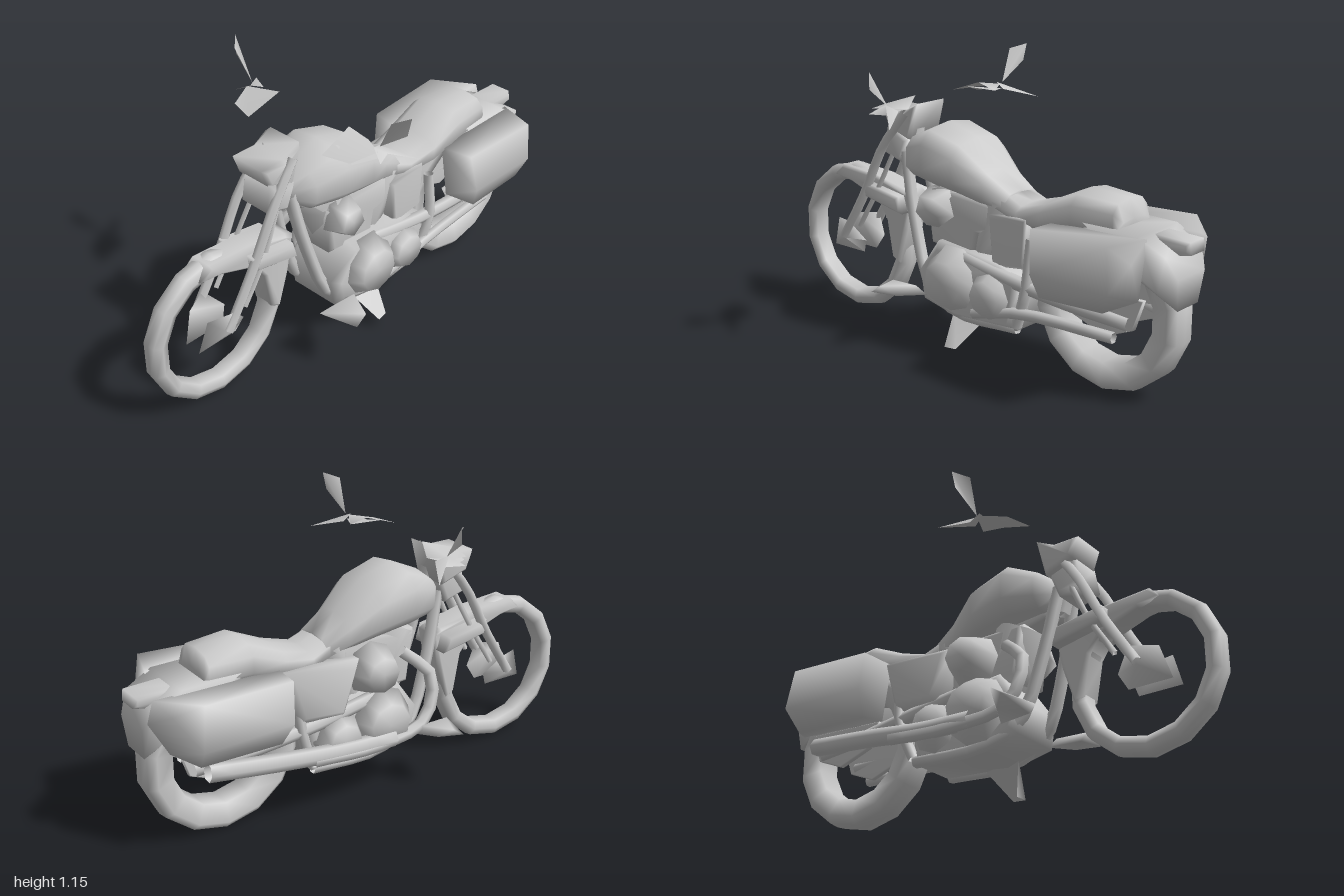
import * as THREE from 'three';
import { ConvexGeometry } from 'three/addons/geometries/ConvexGeometry.js';
import { mergeVertices } from 'three/addons/utils/BufferGeometryUtils.js';

const mat = new THREE.MeshStandardMaterial({ color: 0xcccccc, side: THREE.DoubleSide });
const V = (p) => new THREE.Vector3(...p);

export function createModel() {
  const model = new THREE.Group();
  // Every part is welded so that its shading runs smoothly over the edges
  const add = (name, geo, parent = model) => {
    geo.deleteAttribute('uv');
    geo.deleteAttribute('normal');
    const soft = mergeVertices(geo, 1e-4);
    soft.computeVertexNormals();
    const m = new THREE.Mesh(soft, mat);
    m.name = name;
    parent.add(m);
    return m;
  };

  // Side outline in x,y extruded from z0 to z1
  const slab = (name, pts, z0, z1, bevel = 0.012) => {
    const shape = new THREE.Shape(pts.map((p) => new THREE.Vector2(...p)));
    const geo = new THREE.ExtrudeGeometry(shape, {
      depth: z1 - z0 - 2 * bevel, bevelEnabled: true, bevelSize: bevel,
      bevelOffset: -bevel, bevelThickness: bevel, bevelSegments: 1,
    });
    return add(name, geo.translate(0, 0, z0 + bevel));
  };
  const pipe = (name, pts, r, sides = 6) =>
    add(name, new THREE.TubeGeometry(new THREE.CatmullRomCurve3(pts.map(V)), (pts.length - 1) * 3, r, sides));
  const hull = (name, pts) => add(name, new ConvexGeometry(pts.map(V)));
  const disc = (name, x, y, z, r, depth, r2, sides = 8) => {
    const m = add(name, new THREE.CylinderGeometry(r2, r, depth, sides));
    m.position.set(x, y, z);
    m.rotation.x = z < 0 ? -Math.PI / 2 : Math.PI / 2;
  };
  // Thin fan-shaped sheet
  const leaf = (name, pts, parent) => {
    const geo = new THREE.BufferGeometry().setFromPoints(pts.map(V));
    geo.setIndex(pts.slice(2).flatMap((_, i) => [0, i + 1, i + 2]));
    add(name, geo, parent);
  };
  // Oval sections along x: [x, bottom, top, half width]
  const loft = (name, sections, sides = 10) => {
    const pos = [], idx = [], n = sections.length;
    const bend = (v) => Math.sign(v) * Math.abs(v) ** 0.75;
    for (const [x, lo, hi, w] of sections)
      for (let j = 0; j < sides; j++) {
        const a = (j / sides) * Math.PI * 2;
        pos.push(x, (lo + hi) / 2 + bend(Math.cos(a)) * (hi - lo) / 2, bend(Math.sin(a)) * w);
      }
    for (let i = 0; i < n - 1; i++)
      for (let j = 0; j < sides; j++) {
        const a = i * sides + j, b = i * sides + ((j + 1) % sides);
        idx.push(a, b, a + sides, b, b + sides, a + sides);
      }
    const end = (n - 1) * sides;
    for (let j = 1; j < sides - 1; j++) idx.push(0, j + 1, j, end, end + j, end + j + 1);
    const geo = new THREE.BufferGeometry();
    geo.setAttribute('position', new THREE.Float32BufferAttribute(pos, 3));
    geo.setIndex(idx);
    return add(name, geo);
  };
  // Open-centred tyre turned about z
  const tyre = (name, x, y, r, inner, w, z) => {
    const prof = [[inner, -w * 0.7], [r - 0.035, -w], [r - 0.005, -w * 0.65], [r, 0], [r - 0.005, w * 0.65],
      [r - 0.035, w], [inner, w * 0.7], [inner, -w * 0.7]].map((p) => new THREE.Vector2(...p));
    const m = add(name, new THREE.LatheGeometry(prof, 14));
    m.rotation.x = Math.PI / 2;
    m.position.set(x, y, z);
  };

  // Wheels
  tyre('frontTyre', -0.685, 0.33, 0.317, 0.25, 0.045, -0.01);
  tyre('rearTyre', 0.65, 0.33, 0.325, 0.215, 0.072, -0.007);

  // Front fender, wrapping down behind the wheel, with wider side stays
  slab('frontFender', [[-0.78, 0.59], [-0.73, 0.64], [-0.52, 0.625], [-0.36, 0.59], [-0.32, 0.57], [-0.35, 0.42],
    [-0.4, 0.27], [-0.44, 0.29], [-0.47, 0.45], [-0.52, 0.52], [-0.68, 0.575]], -0.06, 0.05);
  slab('fenderStay', [[-0.56, 0.6], [-0.36, 0.57], [-0.34, 0.5], [-0.55, 0.54]], -0.115, 0.095);

  // Parts paired on both sides
  for (const s of [-1, 1]) {
    const z = s * 0.09 - 0.01;
    pipe('forkLeg', [[-0.33, 0.92, z * 0.8], [-0.45, 0.76, z], [-0.56, 0.55, z], [-0.69, 0.34, z]], 0.02, 5);
    pipe('forkStay', [[-0.4, 0.76, z * 0.7], [-0.5, 0.56, z * 0.9], [-0.6, 0.4, z * 0.9]], 0.012, 4);
    // Axle plate leaning in toward the hub
    hull('axlePlate', [[-0.8, 0.27, z * 0.4], [-0.76, 0.4, z * 0.55], [-0.66, 0.41, z], [-0.59, 0.33, z * 0.6],
      [-0.62, 0.27, z * 0.4], [-0.69, 0.33, z]]);
    pipe('downTube', [[-0.34, 0.76, s * 0.05], [-0.28, 0.5, s * 0.07], [-0.17, 0.23, s * 0.09],
      [0, 0.17, s * 0.11], [0.3, 0.18, s * 0.11]], 0.025);
    // Footrest wing
    hull('footrest', [[-0.31, 0.25, s * 0.17], [-0.28, 0.22, s * 0.17], [-0.14, 0.22, s * 0.15], [-0.15, 0.27, s * 0.2],
      [-0.2, 0.23, s * 0.26], [-0.27, 0.25, s * 0.33], [-0.22, 0.285, s * 0.33]]);
    // Rear suspension
    pipe('swingArm', [[0.02, 0.41, s * 0.12], [0.3, 0.37, s * 0.13], [0.55, 0.34, s * 0.12], [0.8, 0.32, s * 0.1]], 0.028);
    pipe('rearStrut', [[0.3, 0.19, s * 0.12], [0.36, 0.35, s * 0.14], [0.37, 0.55, s * 0.12]], 0.022);
    slab('axleBracket', [[0.5, 0.4], [0.86, 0.42], [0.82, 0.3], [0.7, 0.25], [0.55, 0.3]], s * 0.095 - 0.012, s * 0.095 + 0.012, 0.004);
    disc('crankCover', -0.01, 0.31, s * 0.165, 0.14, 0.08, 0.09, 9);
    disc('gearCover', 0.19, 0.29, s * 0.155, 0.11, 0.07, 0.07, 8);
  }
  slab('leftSideCover', [[0.15, 0.6], [0.34, 0.62], [0.33, 0.42], [0.17, 0.4]], 0.05, 0.12);
  slab('rightSideCover', [[0.1, 0.6], [0.44, 0.62], [0.38, 0.4], [0.17, 0.38]], -0.17, -0.05, 0.03);

  // Headlight on its clamp, and steering neck
  slab('headlight', [[-0.47, 0.92], [-0.44, 0.84], [-0.32, 0.8], [-0.28, 0.96], [-0.36, 0.92]], -0.12, 0.06, 0.015);
  slab('forkClamp', [[-0.44, 0.85], [-0.46, 0.74], [-0.36, 0.71], [-0.32, 0.81]], -0.09, 0.07, 0.015);
  pipe('steeringNeck', [[-0.34, 0.92, 0], [-0.34, 0.8, 0], [-0.31, 0.68, 0]], 0.04);

  // Fuel tank and seat
  loft('fuelTank', [[-0.33, 0.71, 0.8, 0.06], [-0.27, 0.67, 0.85, 0.13], [-0.15, 0.66, 0.905, 0.175], [0, 0.64, 0.86, 0.165],
    [0.12, 0.61, 0.755, 0.12], [0.22, 0.58, 0.69, 0.1]]);
  loft('seat', [[0.16, 0.6, 0.71, 0.1], [0.28, 0.57, 0.655, 0.11], [0.4, 0.57, 0.69, 0.125], [0.55, 0.6, 0.76, 0.13],
    [0.72, 0.6, 0.75, 0.11], [0.74, 0.6, 0.68, 0.1]]);

  // Rear fender, narrowing down the back, and tail light
  hull('rearFender', [-1, 1].flatMap((s) => [[0.6, 0.66, s * 0.12], [0.84, 0.655, s * 0.125], [0.95, 0.6, s * 0.115],
    [0.985, 0.52, s * 0.085], [0.975, 0.4, s * 0.065], [0.9, 0.45, s * 0.08], [0.6, 0.6, s * 0.1]]));
  slab('tailLight', [[0.83, 0.65], [0.995, 0.645], [1, 0.6], [0.93, 0.585], [0.83, 0.6]], -0.065, 0.045);

  // Saddlebags; the right-hand one tapers back to meet the fender
  hull('leftSaddlebag', [[0.46, 0.63, 0.11], [0.87, 0.65, 0.11], [0.85, 0.42, 0.12], [0.49, 0.39, 0.12], [0.47, 0.64, 0.255],
    [0.82, 0.65, 0.275], [0.83, 0.48, 0.28], [0.49, 0.48, 0.28], [0.51, 0.39, 0.25], [0.79, 0.4, 0.25], [0.87, 0.58, 0.2]]);
  hull('rightSaddlebag', [[0.44, 0.63, -0.11], [0.95, 0.64, -0.11], [0.9, 0.42, -0.12], [0.47, 0.39, -0.12], [0.46, 0.64, -0.25],
    [0.83, 0.65, -0.27], [0.85, 0.48, -0.29], [0.47, 0.48, -0.27], [0.49, 0.38, -0.21], [0.83, 0.39, -0.22],
    [0.92, 0.6, -0.2], [0.97, 0.55, -0.1]]);

  // Engine block, upper casing, tilted cylinders and air cleaners
  slab('engineBlock', [[-0.2, 0.31], [-0.18, 0.19], [0, 0.15], [0.3, 0.17], [0.33, 0.38], [0.2, 0.42], [-0.1, 0.45]], -0.13, 0.15, 0.03);
  slab('upperCasing', [[-0.2, 0.64], [-0.17, 0.42], [0.06, 0.4], [0.08, 0.5], [0.15, 0.52], [0.15, 0.64]], -0.1, 0.1, 0.02);
  for (const [x, tilt] of [[-0.09, 0.4], [0.12, -0.4]]) {
    const c = add('engineCylinder', new THREE.CylinderGeometry(0.11, 0.09, 0.28, 8));
    c.position.set(x, 0.52, 0);
    c.rotation.z = tilt;
  }
  disc('leftAirCleaner', -0.12, 0.58, 0.13, 0.09, 0.08, 0.06, 5);
  disc('rightAirCleaner', 0.02, 0.53, -0.15, 0.11, 0.1, 0.07, 8);
  slab('frameSpine', [[-0.31, 0.73], [0.35, 0.61], [0.6, 0.62], [0.6, 0.57], [0.3, 0.53], [-0.27, 0.66]], -0.05, 0.05);

  // Exhaust pipes
  pipe('frontHeader', [[-0.13, 0.56, -0.1], [-0.24, 0.45, -0.15], [-0.19, 0.28, -0.18], [0.05, 0.24, -0.2], [0.35, 0.26, -0.2]], 0.026);
  pipe('rightMuffler', [[-0.03, 0.25, -0.19], [0.2, 0.26, -0.19], [0.45, 0.29, -0.19], [0.78, 0.33, -0.17]], 0.036);
  pipe('leftLowerPipe', [[0.1, 0.2, 0.14], [0.35, 0.26, 0.15], [0.75, 0.26, 0.12]], 0.022);

  // Kickstand
  leaf('kickstand', [[-0.06, 0.17, 0.07], [0.02, 0.06, 0.17], [0, 0.05, 0.2], [0.05, 0.05, 0.19], [0.1, 0.15, 0.08]]);

  // Handlebar ends with angled mirrors, as thin folded leaves
  for (const s of [1, -1]) {
    const bar = new THREE.Group();
    bar.name = s > 0 ? 'leftHandlebar' : 'rightHandlebar';
    bar.scale.z = s;
    leaf('grip', [[-0.18, 1.0, 0.34], [-0.28, 0.98, 0.3], [-0.31, 0.98, 0.19], [-0.16, 1.03, 0.18], [-0.13, 0.99, 0.25]], bar);
    leaf('gripUnderside', [[-0.18, 0.98, 0.35], [-0.27, 0.97, 0.3], [-0.25, 1.0, 0.2], [-0.13, 0.99, 0.25]], bar);
    leaf('lever', [[-0.18, 1.01, 0.32], [-0.21, 0.98, 0.38], [-0.14, 0.98, 0.35], [-0.05, 0.95, 0.43], [-0.13, 0.99, 0.3]], bar);
    leaf('mirror', [[-0.16, 1.01, 0.33], [-0.14, 1.09, 0.44], [-0.13, 1.16, 0.45], [-0.18, 1.14, 0.4]], bar);
    model.add(bar);
  }
  return model;
}
